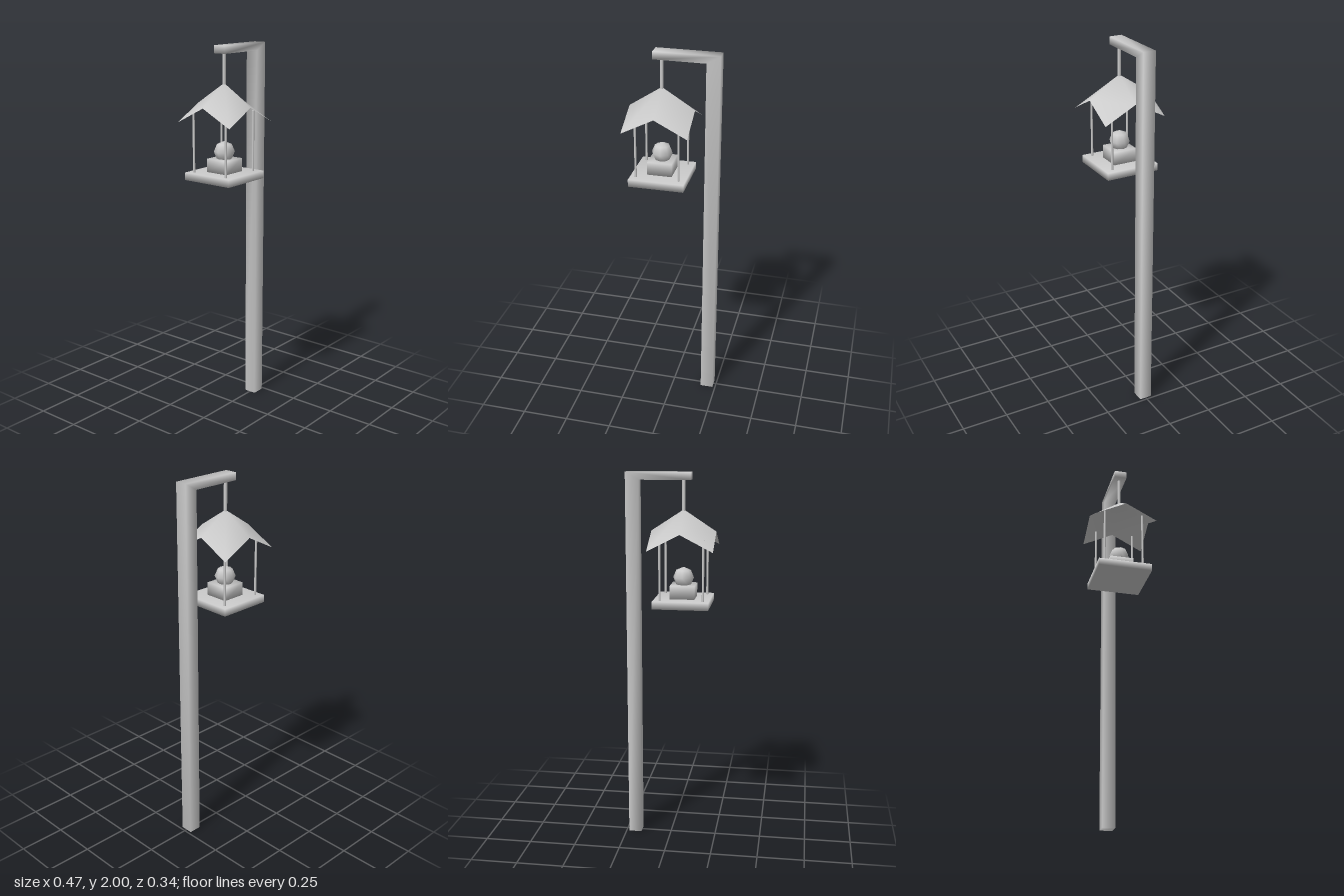
import * as THREE from 'three';
import { mergeVertices } from 'three/addons/utils/BufferGeometryUtils.js';

const material = new THREE.MeshStandardMaterial({ color: 0xcccccc });
const sheetMaterial = new THREE.MeshStandardMaterial({ color: 0xcccccc, side: THREE.DoubleSide });

// Weld corners so shading flows softly over the edges
function weld(geometry) {
  geometry.deleteAttribute('normal');
  geometry.deleteAttribute('uv');
  const welded = mergeVertices(geometry, 1e-4);
  welded.computeVertexNormals();
  return welded;
}

function add(parent, name, geometry, x = 0, y = 0, z = 0, mat = material) {
  const mesh = new THREE.Mesh(geometry, mat);
  mesh.name = name;
  mesh.position.set(x, y, z);
  parent.add(mesh);
  return mesh;
}

// Upright rod between two heights
function addRod(parent, name, radius, x, z, bottom, top) {
  const geometry = new THREE.CylinderGeometry(radius, radius, top - bottom, 8);
  return add(parent, name, geometry, x, (bottom + top) / 2, z);
}

// Softly shaded block standing on a given height
function addBlock(parent, name, w, h, d, bottom) {
  return add(parent, name, weld(new THREE.BoxGeometry(w, h, d)), 0, bottom + h / 2, 0);
}

export function createModel() {
  const model = new THREE.Group();
  model.name = 'lampPost';

  // Post and arm in one L-shaped piece
  const outline = new THREE.Shape([
    [0.235, 0], [0.235, 2], [-0.105, 2], [-0.105, 1.96], [0.165, 1.96], [0.165, 0],
  ].map(([x, y]) => new THREE.Vector2(x, y)));
  const post = new THREE.ExtrudeGeometry(outline, { depth: 0.068, bevelEnabled: false });
  post.translate(0, 0, -0.034);
  add(model, 'postAndArm', weld(post));

  // Hanging lantern
  const lantern = new THREE.Group();
  lantern.name = 'lantern';
  lantern.position.x = -0.066;
  model.add(lantern);
  addRod(lantern, 'hanger', 0.009, 0, 0, 1.795, 1.965);

  // Thin square roof: high centre, lower edge middles, lowest corners
  const half = 0.17;
  const roof = new THREE.PlaneGeometry(half * 2, half * 2, 2, 2).rotateX(-Math.PI / 2);
  const heights = [1.81, 1.699, 1.612];
  const p = roof.attributes.position;
  for (let i = 0; i < p.count; i++) {
    const outward = Math.round((Math.abs(p.getX(i)) + Math.abs(p.getZ(i))) / half);
    p.setY(i, heights[outward]);
  }
  roof.computeVertexNormals();
  add(lantern, 'roof', roof, 0, 0, 0, sheetMaterial);

  // Floor, lamp base and globe
  addBlock(lantern, 'floor', 0.292, 0.04, 0.292, 1.31);
  addBlock(lantern, 'lampBase', 0.13, 0.07, 0.13, 1.35);
  add(lantern, 'globe', new THREE.SphereGeometry(0.055, 8, 4), 0, 1.457, 0);

  // Four corner rods
  for (const sx of [-1, 1]) {
    for (const sz of [-1, 1]) {
      addRod(lantern, 'cornerRod', 0.006, sx * 0.113 - 0.002, sz * 0.106 - 0.003, 1.345, 1.668);
    }
  }
  return model;
}
